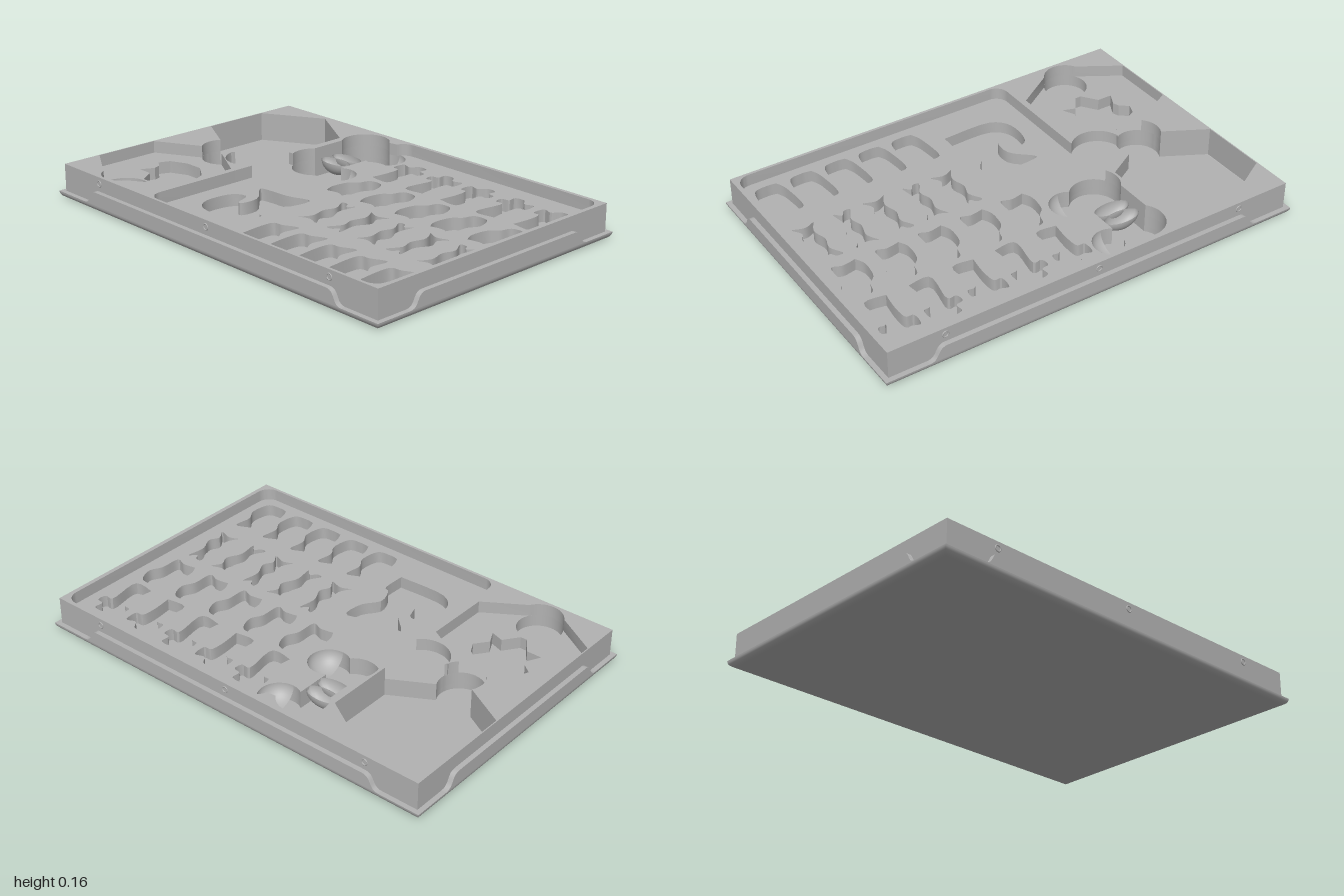
import * as THREE from 'three';
import { toCreasedNormals } from 'three/addons/utils/BufferGeometryUtils.js';

const W = 0.663, L = 0.975;      // half width and half length of the insert
const RIM_W = 0.685, RIM_L = 0.997; // half size of the outer rim
const TOP = 0.155, MID = 0.10, LOW = 0.045, FLOOR = 0.02;

// Arc points, angles in degrees, in (x, z)
function arc(cx, cz, r, from, to) {
  const n = Math.max(3, Math.ceil(Math.abs(to - from) / 8)), pts = [];
  for (let i = 0; i <= n; i++) {
    const a = THREE.MathUtils.degToRad(from + (to - from) * i / n);
    pts.push([cx + r * Math.cos(a), cz + r * Math.sin(a)]);
  }
  return pts;
}
const toVectors = pts => pts.map(p => new THREE.Vector2(p[0], p[1]));

// Closed soft outline, moved to (cx, cz) and optionally mirrored
function outline(pts, cx = 0, cz = 0, sx = 1, sz = 1) {
  const v = toVectors(pts.map(([x, z]) => [cx + x * sx, cz + z * sz]));
  return new THREE.SplineCurve([...v, v[0].clone()]).getPoints(56).slice(0, -1);
}

function rect(w, l) {
  return toVectors([[-w, -l], [w, -l], [w, l], [-w, l]]);
}

// Horizontal plate between two heights with pockets cut through
function plate(holes, y0, y1) {
  const shape = new THREE.Shape(rect(W, L));
  holes.forEach(h => shape.holes.push(new THREE.Path(h)));
  const g = new THREE.ExtrudeGeometry(shape, { depth: y1 - y0, bevelEnabled: false });
  g.rotateX(Math.PI / 2).translate(0, y1, 0);
  return toCreasedNormals(g, 0.5);
}

// Rounded lower edge along one side, facing +z, with mitred ends
function roundedEdge(halfLength, distance) {
  const r = 0.03, n = 8, pos = [], idx = [];
  for (let i = 0; i <= n; i++) {
    const a = i / n * Math.PI / 2, out = r * Math.sin(a) - r, y = r - r * Math.cos(a);
    pos.push(-halfLength - out, y, distance + out, halfLength + out, y, distance + out);
    if (i < n) {
      const k = i * 2;
      idx.push(k, k + 1, k + 3, k, k + 3, k + 2);
    }
  }
  const g = new THREE.BufferGeometry();
  g.setAttribute('position', new THREE.Float32BufferAttribute(pos, 3));
  g.setIndex(idx);
  g.computeVertexNormals();
  return g;
}

// Raised lip with S-curved ends, facing +z
function lip(half, inner, outer) {
  const s = new THREE.Shape();
  s.moveTo(-half - 0.05, 0.03);
  s.bezierCurveTo(-half, 0.03, -half - 0.02, 0.09, -half + 0.03, 0.09);
  s.lineTo(half - 0.03, 0.09);
  s.bezierCurveTo(half + 0.02, 0.09, half, 0.03, half + 0.05, 0.03);
  const g = new THREE.ExtrudeGeometry(s, { depth: outer - inner, bevelEnabled: false });
  g.translate(0, 0, inner);
  return toCreasedNormals(g, 0.5);
}

export function createModel() {
  const tray = new THREE.Group();
  tray.name = 'tray';
  const grey = new THREE.MeshStandardMaterial({ color: 0xb2b2b2, side: THREE.DoubleSide });
  grey.name = 'light grey';
  const add = (name, geometry, parent = tray) => {
    const m = new THREE.Mesh(geometry, grey);
    m.name = name;
    parent.add(m);
    return m;
  };

  // Top level: all large recesses joined in one opening
  const recess = toVectors([
    ...arc(-0.59, 0.895, 0.06, 90, 180), ...arc(-0.59, -0.33, 0.06, 180, 270),
    ...arc(0, -0.48, 0.12, 132, 262),
    ...arc(0.01, -0.69, 0.1, 100, 137),
    [-0.175, -0.42], [-0.48, -0.42],
    ...arc(-0.55, -0.69, 0.1, 118, 242),
    [-0.48, -0.97], [-0.175, -0.97],
    ...arc(0.01, -0.69, 0.1, 225, 300),
    [0.165, -0.97], [0.48, -0.97], [0.64, -0.69], [0.48, -0.42], [0.165, -0.42],
    ...arc(0.22, -0.3, 0.11, 240, 310),
    ...arc(0.53, -0.3, 0.11, 230, 415),
    ...arc(0.585, -0.11, 0.06, 285, 360), ...arc(0.585, 0.895, 0.06, 0, 90),
  ]);
  add('topFrame', plate([recess], MID, TOP));

  // Deep recesses: hexagon with finger hole, and paired round wells
  const hexWell = toVectors([
    ...arc(0.01, -0.69, 0.1, 60, 300),
    [0.165, -0.97], [0.48, -0.97], [0.64, -0.69], [0.48, -0.42], [0.165, -0.42],
  ]);
  const roundWells = toVectors([
    ...arc(0.22, -0.3, 0.11, 133, 310), ...arc(0.53, -0.3, 0.11, 230, 407),
    ...arc(0.53, -0.17, 0.09, -33, 213), ...arc(0.22, -0.17, 0.09, -33, 213),
  ]);

  // Shaped pockets in four columns
  const stub = [[-0.12, -0.045], [-0.06, -0.065], [0.08, -0.07], [0.1, -0.02], [0.125, 0.05],
    [0.04, 0.045], [-0.02, 0.075], [-0.11, 0.06], [-0.125, 0]];
  const slim = [[-0.13, -0.05], [-0.07, -0.02], [0, -0.035], [0.06, -0.02], [0.12, -0.05], [0.125, -0.02],
    [0.1, 0], [0.125, 0.03], [0.04, 0.02], [-0.03, 0.05], [-0.08, 0.03], [-0.125, 0.055], [-0.11, 0]];
  const blob = [[-0.11, -0.06], [-0.06, -0.08], [0.02, -0.07], [0.06, -0.035], [0.11, -0.015],
    [0.11, 0.05], [0.04, 0.08], [-0.02, 0.055], [-0.11, 0.05], [-0.1, 0]];
  const bone = [[-0.125, -0.05], [-0.04, -0.04], [0.03, -0.045], [0.04, -0.08], [0.1, -0.075], [0.09, -0.03],
    [0.125, 0], [0.12, 0.045], [0.08, 0.045], [0.07, 0.08], [0.03, 0.075], [0.02, 0.035], [-0.125, 0.05]];
  const pockets = [];
  for (let i = 0; i < 5; i++) {
    const flip = i % 2 ? -1 : 1;
    pockets.push(outline(stub, -0.48, 0.165 + 0.168 * i));
    pockets.push(outline(slim, -0.14, 0.165 + 0.168 * i, flip));
    pockets.push(outline(blob, 0.155, 0.015 + 0.203 * i));
    pockets.push(outline(bone, 0.435, 0.015 + 0.203 * i, 1, flip));
  }
  // Large hooked pocket
  pockets.push(outline([[-0.49, 0.01], [-0.495, -0.2], [-0.45, -0.28], [-0.37, -0.3], [-0.28, -0.28],
    [-0.26, -0.22], [-0.33, -0.19], [-0.32, -0.165], [-0.24, -0.17], [-0.16, -0.25], [-0.14, -0.23],
    [-0.13, -0.1], [-0.1, 0.005], [-0.2, 0.005], [-0.28, -0.045], [-0.36, -0.02], [-0.38, 0.01]]));
  // Finger hole and jagged pocket in the shallow hexagon
  pockets.push(toVectors(arc(-0.55, -0.69, 0.1, 0, 352)));
  pockets.push(toVectors([[-0.44, -0.7], [-0.37, -0.75], [-0.37, -0.82], [-0.31, -0.79], [-0.28, -0.8],
    [-0.25, -0.84], [-0.2, -0.82], [-0.165, -0.74], [-0.165, -0.65], [-0.22, -0.57], [-0.27, -0.545],
    [-0.33, -0.59], [-0.39, -0.56], [-0.37, -0.62], [-0.44, -0.67]]));
  add('pocketLayer', plate([hexWell, roundWells, ...pockets], LOW, MID));
  add('lowerLayer', plate([hexWell, roundWells], FLOOR, LOW));

  // Curved bowls in the round wells
  for (const x of [0.22, 0.53]) {
    const bowl = add('wellBowl', new THREE.SphereGeometry(0.09, 24, 10, 0, Math.PI, Math.PI / 2, Math.PI / 2));
    bowl.position.set(x, MID, -0.17);
    bowl.scale.y = 0.85;
  }
  for (const x of [0.34, 0.41]) {
    const trough = add('wellTrough', new THREE.SphereGeometry(1, 20, 8, 0, Math.PI * 2, Math.PI / 2, Math.PI / 2));
    trough.position.set(x, MID, -0.3);
    trough.scale.set(0.04, 0.06, 0.085);
  }

  // Base plate and ledge around the insert
  const base = add('basePlate', new THREE.BoxGeometry(2 * (RIM_W - 0.03), FLOOR, 2 * (RIM_L - 0.03)));
  base.position.y = FLOOR / 2;
  const ledge = new THREE.Shape(rect(RIM_W, RIM_L));
  ledge.holes.push(new THREE.Path(rect(W, L)));
  add('ledge', new THREE.ShapeGeometry(ledge).rotateX(-Math.PI / 2).translate(0, 0.03, 0));

  // Rounded rim and raised lips on four sides
  for (let i = 0; i < 4; i++) {
    const side = new THREE.Group();
    side.name = 'rimSide';
    side.rotation.y = i * Math.PI / 2;
    const long = i % 2 === 1;
    add('roundedEdge', roundedEdge(long ? RIM_L : RIM_W, long ? RIM_W : RIM_L), side);
    add('lip', lip(long ? 0.755 : 0.465, long ? W : L, long ? RIM_W : RIM_L), side);
    // Small round catches along the long sides
    if (long) for (const u of [-0.72, 0, 0.72]) {
      add('catchRing', new THREE.TorusGeometry(0.013, 0.003, 8, 20), side).position.set(u, 0.125, W);
    }
    tray.add(side);
  }
  return tray;
}
